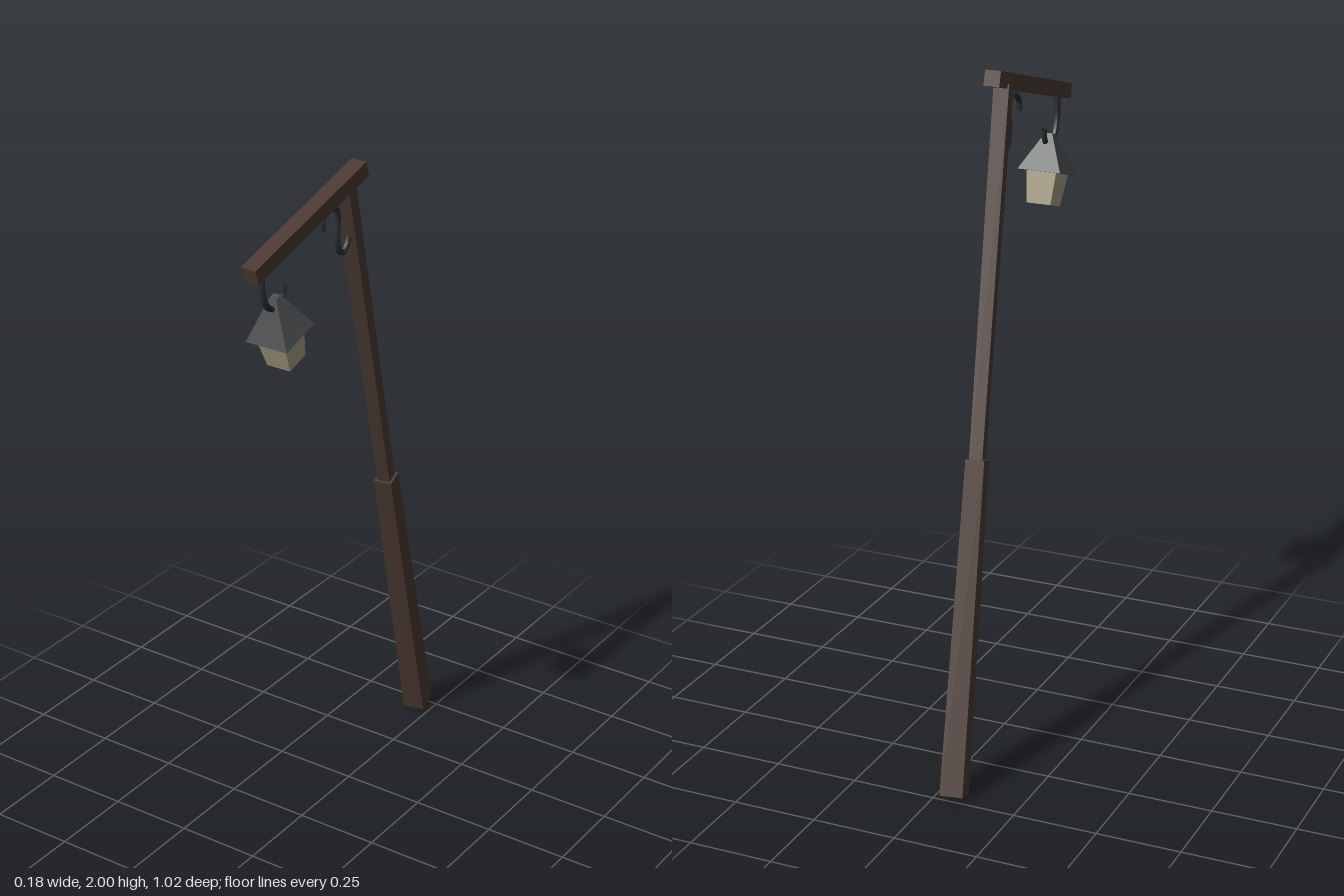
import * as THREE from 'three';

const mat = (name, color) => {
  const m = new THREE.MeshStandardMaterial({ color, flatShading: true });
  m.name = name;
  return m;
};

// Square frustum standing on y = 0; w0 and w1 are the bottom and top side lengths
function frustum(w0, w1, h) {
  return new THREE.CylinderGeometry(w1 * Math.SQRT1_2, w0 * Math.SQRT1_2, h, 4, 1)
    .rotateY(Math.PI / 4)
    .translate(0, h / 2, 0);
}

export function createModel() {
  const wood = mat('darkWood', 0x4b3a33);
  const iron = mat('blackIron', 0x2b2d2f);
  const roofMetal = mat('roofMetal', 0x4a4c4d);
  const pane = mat('lanternPane', 0xa89f86);
  iron.side = THREE.DoubleSide;

  const model = new THREE.Group();
  model.name = 'leaningLanternPost';
  const add = (parent, name, geometry, material) => {
    const mesh = new THREE.Mesh(geometry, material);
    mesh.name = name;
    parent.add(mesh);
    return mesh;
  };

  // Leaning post: thick tapered foot with a thinner pole in it
  const post = new THREE.Group();
  post.name = 'post';
  post.position.set(-0.054, 0.012, -0.474);
  post.rotation.set(0.275, 0.158, 0, 'YXZ');
  add(post, 'lowerPost', frustum(0.068, 0.055, 0.96), wood);
  add(post, 'upperPost', frustum(0.039, 0.045, 1.06).translate(0, 0.95, 0), wood);
  model.add(post);

  // Sloping beam across the top
  const beam = add(model, 'beam', new THREE.BoxGeometry(0.048, 0.045, 0.532), wood);
  beam.position.set(0.034, 1.906, 0.25);
  beam.rotation.x = 0.27;

  // Bent iron hooks, drawn as [z, y] paths
  const hook = (name, x, points) => {
    const path = new THREE.CatmullRomCurve3(points.map(([z, y]) => new THREE.Vector3(x, y, z)));
    add(model, name, new THREE.TubeGeometry(path, 28, 0.009, 6), iron);
  };
  hook('lanternHook', 0.028, [[0.444, 1.84], [0.443, 1.765], [0.42, 1.715],
    [0.386, 1.702], [0.352, 1.72], [0.345, 1.755]]);
  hook('scrollHook', 0.03, [[0.17, 1.85], [0.167, 1.88], [0.138, 1.902], [0.106, 1.894],
    [0.096, 1.86], [0.1, 1.807], [0.09, 1.765], [0.069, 1.755], [0.05, 1.772], [0.042, 1.79]]);

  // Hanging lantern, origin at the eaves
  const lantern = new THREE.Group();
  lantern.name = 'lantern';
  lantern.position.set(0.025, 1.622, 0.363);
  lantern.rotation.x = 0.3;
  const roof = frustum(0.134, 0.022, 0.113);
  // Peak sits slightly behind the middle
  const p = roof.attributes.position;
  for (let i = 0; i < p.count; i++) p.setZ(i, p.getZ(i) - 0.12 * p.getY(i));
  add(lantern, 'lanternRoof', roof, roofMetal);
  add(lantern, 'lanternBody', frustum(0.075, 0.094, 0.094).translate(0, -0.094, 0), pane);
  model.add(lantern);

  return model;
}
